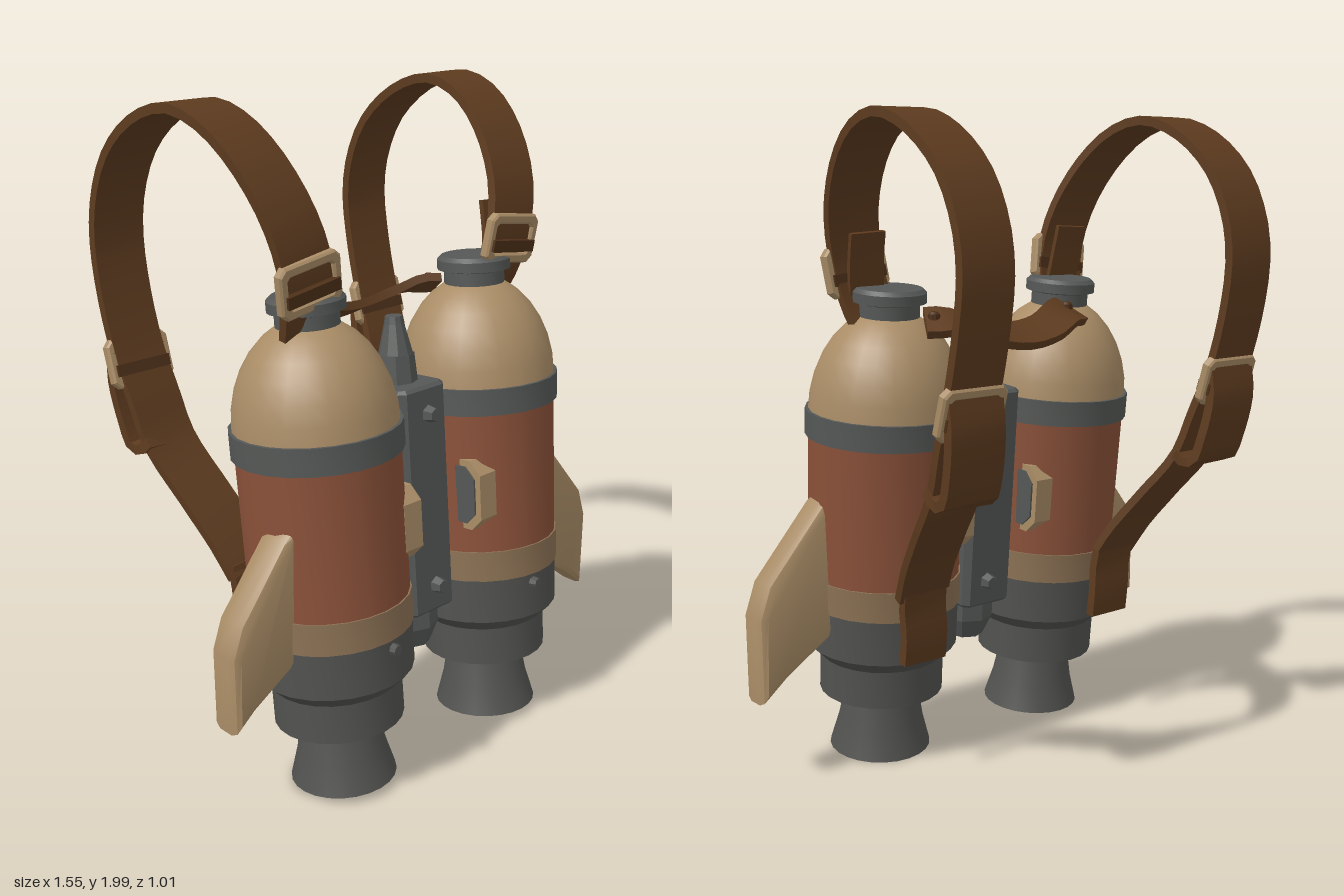
import * as THREE from 'three';
import { toCreasedNormals } from 'three/addons/utils/BufferGeometryUtils.js';

const mat = (name, color, extra = {}) => Object.assign(new THREE.MeshStandardMaterial({ color, ...extra }), { name });
const V = (x, y, z) => new THREE.Vector3(x, y, z);
const TILT = -0.085;

export function createModel() {
  const tan = mat('tanMetal', 0xa98c66);
  const darkTan = mat('darkTanBand', 0x8b7154);
  const rust = mat('rustPaint', 0x8a5139);
  const grey = mat('gunmetal', 0x555856);
  const darkGrey = mat('engineGrey', 0x525350);
  const leather = mat('leather', 0x5d3b1f);
  const darkLeather = mat('darkLeather', 0x4c2f18);

  const root = new THREE.Group();
  root.name = 'rocketBackpack';
  const body = new THREE.Group();
  body.name = 'body';
  body.position.x = -0.02;
  root.add(body);

  const add = (parent, name, geo, material, crease = 0.5) => {
    const mesh = new THREE.Mesh(toCreasedNormals(geo, crease), material);
    mesh.name = name;
    parent.add(mesh);
    return mesh;
  };
  const lathe = (pts) => new THREE.LatheGeometry(pts.map(([r, y]) => new THREE.Vector2(r, y)), 24);
  const polygon = (pts) => new THREE.Shape(pts.map(([x, y]) => new THREE.Vector2(x, y)));
  const chamfered = (w, h, c) => polygon([[-w + c, -h], [w - c, -h], [w, -h + c], [w, h - c],
    [w - c, h], [-w + c, h], [-w, h - c], [-w, -h + c]]);

  // Flat strap swept along a curve; the hint sets its width direction
  const ribbon = (pts, width, thick, hint, steps) => {
    const curve = new THREE.CatmullRomCurve3(pts.map((p) => V(...p)), false, 'centripetal');
    const pos = [], idx = [];
    for (let i = 0; i <= steps; i++) {
      const p = curve.getPointAt(i / steps), t = curve.getTangentAt(i / steps);
      const w = hint.clone().addScaledVector(t, -t.dot(hint)).normalize();
      const n = t.clone().cross(w);
      for (const [a, b] of [[1, 1], [-1, 1], [-1, -1], [1, -1]]) {
        pos.push(...p.clone().addScaledVector(w, a * width / 2).addScaledVector(n, b * thick / 2).toArray());
      }
      if (i < steps) for (let j = 0; j < 4; j++) {
        const a = i * 4 + j, b = i * 4 + (j + 1) % 4;
        idx.push(a, b, b + 4, a, b + 4, a + 4);
      }
    }
    const e = steps * 4;
    idx.push(0, 3, 2, 0, 2, 1, e, e + 1, e + 2, e, e + 2, e + 3);
    const g = new THREE.BufferGeometry();
    g.setAttribute('position', new THREE.Float32BufferAttribute(pos, 3));
    g.setIndex(idx);
    return g;
  };

  // Open rectangular buckle
  const buckleGeo = () => {
    const s = chamfered(0.108, 0.075, 0.02);
    s.holes.push(chamfered(0.08, 0.045, 0.01));
    return new THREE.ExtrudeGeometry(s, { depth: 0.02, bevelEnabled: true, bevelSize: 0.006,
      bevelThickness: 0.006, bevelSegments: 1, bevelOffset: -0.006 }).translate(0, 0, -0.01);
  };
  const orient = (mesh, p, t) => {
    const y = t.clone().normalize();
    const x = V(1, 0, 0).addScaledVector(y, -y.x).normalize();
    mesh.quaternion.setFromRotationMatrix(new THREE.Matrix4().makeBasis(x, y, x.clone().cross(y)));
    mesh.position.copy(p);
  };

  // Dome profile
  const dome = [];
  for (let i = 0; i <= 8; i++) {
    const a = (i / 8) * Math.PI / 2;
    dome.push([0.24 * Math.cos(a), 1.1 + 0.315 * Math.sin(a)]);
  }

  for (const s of [-1, 1]) {
    const side = s > 0 ? 'left' : 'right';

    // Tank with engine, painted sections and cap
    const tank = new THREE.Group();
    tank.name = side + 'Tank';
    tank.position.set(s * 0.32, 0.015, 0.3);
    tank.rotation.set(TILT, 0, -s * 0.015);
    body.add(tank);
    add(tank, 'nozzle', lathe([[0, 0.16], [0.09, 0.16], [0.143, 0], [0.16, 0], [0.135, 0.09], [0.112, 0.22]]), darkGrey);
    add(tank, 'engineHousing', lathe([[0, 0.21], [0.165, 0.21], [0.175, 0.2], [0.195, 0.2], [0.195, 0.32],
      [0.235, 0.36], [0.237, 0.505], [0, 0.505]]), darkGrey);
    add(tank, 'lowerBand', lathe([[0.2, 0.5], [0.241, 0.5], [0.241, 0.595], [0.2, 0.595]]), darkTan);
    add(tank, 'paintedBody', lathe([[0.236, 0.59], [0.238, 1.04]]), rust);
    add(tank, 'upperRing', lathe([[0.2, 1.03], [0.249, 1.03], [0.249, 1.11], [0.2, 1.11]]), grey);
    add(tank, 'dome', lathe(dome), tan, 0.9);
    add(tank, 'cap', lathe([[0.092, 1.37], [0.092, 1.43], [0.112, 1.435], [0.112, 1.465], [0.1, 1.477], [0, 1.477]]), grey);
    const stud = add(tank, 'housingStud', new THREE.CylinderGeometry(0.015, 0.02, 0.03, 8), darkGrey);
    stud.rotation.x = Math.PI / 2;
    stud.position.set(-s * 0.02, 0.47, 0.24);

    // Mounting plate on the inner flank
    const plate = new THREE.Group();
    plate.name = side + 'MountPlate';
    plate.position.set(s * 0.125, 0.8, 0.235);
    plate.rotation.set(TILT, s * Math.PI / 2, 0, 'XYZ');
    body.add(plate);
    add(plate, 'plateRim', new THREE.ExtrudeGeometry(chamfered(0.19, 0.11, 0.04), { depth: 0.07, bevelEnabled: false }), tan);
    add(plate, 'plateFace', new THREE.ExtrudeGeometry(chamfered(0.17, 0.09, 0.035), { depth: 0.006, bevelEnabled: false })
      .translate(0, 0, -0.006), grey);

    // Fin
    const outline = s > 0
      ? [[0.52, 0.885], [0.57, 0.85], [0.76, 0.63], [0.795, 0.53], [0.79, 0.265], [0.7, 0.335], [0.52, 0.45]]
      : [[0.52, 0.905], [0.57, 0.86], [0.725, 0.66], [0.757, 0.57], [0.752, 0.33], [0.68, 0.385], [0.52, 0.48]];
    const fin = add(body, side + 'Fin', new THREE.ExtrudeGeometry(polygon(outline.map(([x, y]) => [s * x, y])),
      { depth: 0.05, bevelEnabled: true, bevelSize: 0.025, bevelThickness: 0.03, bevelOffset: -0.025, bevelSegments: 2 }), tan);
    fin.position.z = s > 0 ? 0.24 : 0.26;

    // Shoulder strap from the cap, over the shoulder and back to the tank
    const m = (pts) => pts.map(([x, y, z]) => [s * x, y, z]);
    const strap = new THREE.Group();
    strap.name = side + 'Strap';
    body.add(strap);
    add(strap, 'shoulderStrap', ribbon(m([[0.37, 1.38, 0.21], [0.39, 1.46, 0.24], [0.41, 1.58, 0.255], [0.44, 1.72, 0.225],
      [0.47, 1.86, 0.135], [0.49, 1.95, 0.02], [0.5, 1.982, -0.11], [0.505, 1.935, -0.26], [0.505, 1.83, -0.39],
      [0.505, 1.7, -0.46], [0.505, 1.57, -0.482], [0.505, 1.4, -0.46], [0.5, 1.22, -0.41], [0.49, 1.1, -0.36],
      [0.475, 0.96, -0.305], [0.44, 0.81, -0.185], [0.41, 0.69, -0.09], [0.39, 0.6, -0.035]]),
      0.172, 0.028, V(1, 0, 0), 44), leather);
    add(strap, 'strapTail', ribbon(m([[0.39, 0.63, -0.045], [0.385, 0.56, -0.03], [0.38, 0.47, -0.03], [0.38, 0.385, -0.02]]),
      0.15, 0.03, V(1, 0, 0), 6), leather);
    add(strap, 'adjusterLoop', ribbon(m([[0.5, 1.24, -0.42], [0.5, 1.15, -0.43], [0.49, 1.02, -0.405], [0.485, 0.95, -0.375],
      [0.48, 0.945, -0.33], [0.475, 0.97, -0.3]]), 0.182, 0.032, V(1, 0, 0), 12), leather);
    const spots = [['front', V(s * 0.405, 1.54, 0.262), V(s * 0.15, 1, 0.08)],
      ['back', V(s * 0.5, 1.2, -0.41), V(0, 1, -0.3)]];
    for (const [where, p, t] of spots) {
      orient(add(strap, where + 'Buckle', buckleGeo(), tan), p, t);
      orient(add(strap, where + 'Keeper', new THREE.BoxGeometry(0.186, 0.035, 0.05), darkLeather),
        p.clone().addScaledVector(t, -0.02), t);
    }
    // Loose strap end beside the front buckle
    add(strap, 'strapEnd', ribbon(m([[0.39, 1.47, 0.23], [0.4, 1.56, 0.215], [0.405, 1.65, 0.195]]),
      0.12, 0.015, V(1, 0, 0), 4), leather);
  }

  // Central spine between the tanks
  const spine = new THREE.Group();
  spine.name = 'centralSpine';
  spine.position.set(0, 0.3, 0.265);
  spine.rotation.x = TILT;
  body.add(spine);
  add(spine, 'spineBlock', new THREE.ExtrudeGeometry(chamfered(0.095, 0.115, 0.02), { depth: 0.69, bevelEnabled: true,
    bevelSize: 0.01, bevelThickness: 0.01, bevelOffset: -0.01, bevelSegments: 1 })
    .rotateX(-Math.PI / 2).translate(0, 0.165, 0), grey);
  const knob = (name, top, bottom, y0, y1, sides) =>
    add(spine, name, new THREE.CylinderGeometry(top, bottom, y1 - y0, sides).translate(0, (y0 + y1) / 2, 0), grey);
  knob('lowerPlug', 0.088, 0.088, 0.09, 0.17, 8);
  knob('lowerPlugTip', 0.088, 0.06, 0.025, 0.09, 8);
  knob('valveNut', 0.055, 0.062, 0.86, 0.95, 8);
  knob('valveStem', 0.03, 0.052, 0.95, 1.04, 10);
  knob('valveTip', 0.026, 0.03, 1.04, 1.062, 10);
  for (const y of [0.24, 0.78]) for (const f of [-1, 1]) {
    const bolt = add(spine, 'spineBolt', new THREE.CylinderGeometry(0.02, 0.028, 0.035, 6), grey);
    bolt.rotation.x = f * Math.PI / 2;
    bolt.position.set(0.01, y, f * 0.128);
  }

  // Strap joining the two domes behind the valve
  add(body, 'crossStrap', ribbon([[-0.29, 1.385, 0.07], [-0.22, 1.385, 0.03], [-0.11, 1.35, -0.015], [0, 1.335, -0.025],
    [0.11, 1.35, -0.015], [0.22, 1.385, 0.03], [0.29, 1.385, 0.07]], 0.125, 0.026, V(0, 0.5, 1), 16), leather);
  for (const s of [-1, 1]) {
    add(body, 'crossStrapRivet', new THREE.SphereGeometry(0.02, 10, 6), darkLeather).position.set(s * 0.265, 1.4, 0.06);
  }
  return root;
}
